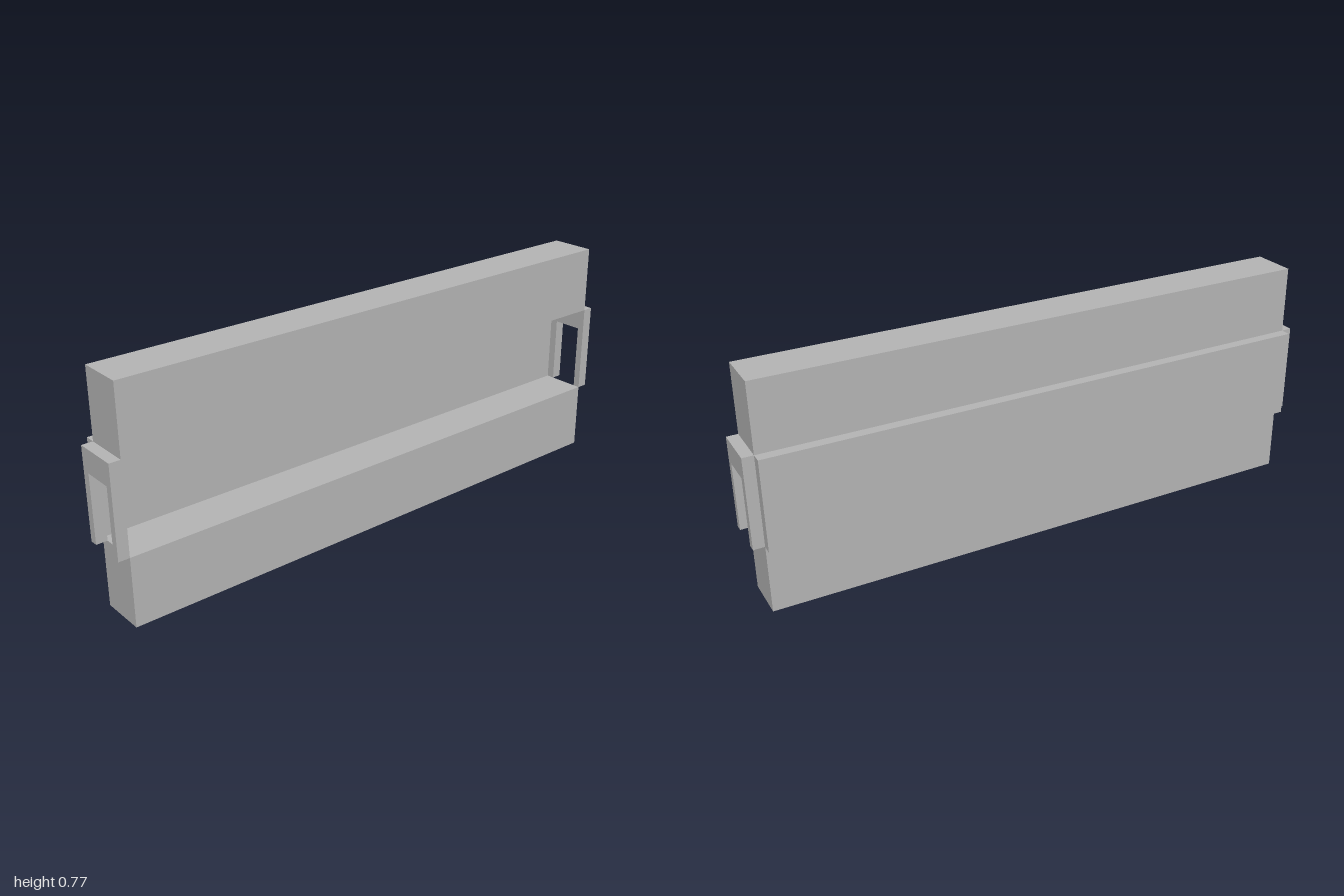
import * as THREE from 'three';

export function createModel() {
  const group = new THREE.Group();
  const grey = new THREE.MeshStandardMaterial({ color: 0xb2b2b2 });
  grey.name = 'grey';

  const X0 = -0.059, X1 = 0.095;   // beam faces
  const Y0 = 0.232, Y1 = 0.539;    // gap between the beams
  const Z = 0.963;                 // beam ends

  function add(name, geometry) {
    const mesh = new THREE.Mesh(geometry, grey);
    mesh.name = name;
    group.add(mesh);
    return mesh;
  }

  // box given by its two opposite corners
  function box(name, x0, x1, y0, y1, z0, z1) {
    add(name, new THREE.BoxGeometry(x1 - x0, y1 - y0, z1 - z0))
      .position.set((x0 + x1) / 2, (y0 + y1) / 2, (z0 + z1) / 2);
  }

  box('lowerBeam', X0, X1, 0, Y0, -Z, Z);
  box('upperBeam', X0, X1, Y1, 0.77, -Z, Z);
  box('backPanel', -0.095, X0, Y0, Y1, -Z, Z);

  // end frames: arches open at the bottom
  const arch = new THREE.Shape([
    [X0, Y0], [-0.032, Y0], [-0.032, 0.461], [0.071, 0.461],
    [0.071, Y0], [X1, Y0], [X1, Y1], [X0, Y1],
  ].map(([x, y]) => new THREE.Vector2(x, y)));
  const frame = new THREE.ExtrudeGeometry(arch, { depth: 1 - Z, bevelEnabled: false });
  add('frontEndFrame', frame).position.z = Z;
  add('backEndFrame', frame).position.z = -1;

  return group;
}
